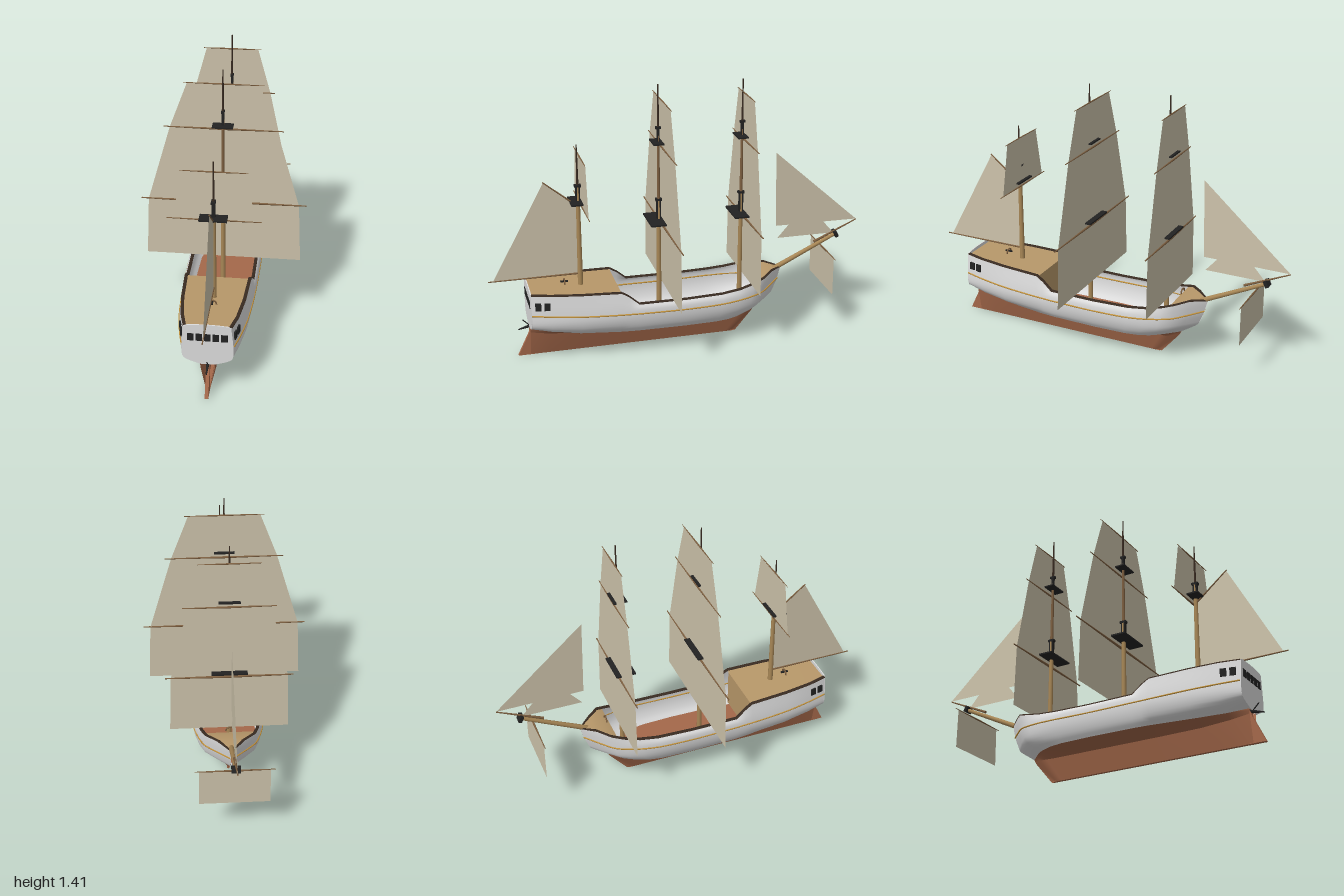
import * as THREE from 'three';

const mat = (name, color, side = THREE.FrontSide) => {
  const m = new THREE.MeshStandardMaterial({ color, side });
  m.name = name;
  return m;
};
const D = THREE.DoubleSide;
const hullWhite = mat('hull white', 0xdcdcdc, D);
const bottomRed = mat('bottom red', 0xa4684a, D);
const deckTan = mat('deck tan', 0xb8986a, D);
const mastWood = mat('mast wood', 0xa88756);
const sparWood = mat('spar wood', 0x7d5f40);
const railBrown = mat('rail brown', 0x3a2c22, D);
const black = mat('black', 0x222222);
const gold = mat('trim gold', 0xc8963c);
const canvas = mat('sail canvas', 0xcdc3ab, D);

// Hull stations: z, rail half-width, rail y, widest half-width, bilge half-width, waterline half-width, waterline y
const stations = [
  [0.8, 0.115, 0.385, 0.125, 0.112, 0.035, 0.166],
  [0.7, 0.14, 0.382, 0.147, 0.128, 0.07, 0.15],
  [0.55, 0.158, 0.377, 0.17, 0.15, 0.11, 0.14],
  [0.34, 0.168, 0.37, 0.184, 0.167, 0.142, 0.138],
  [0.3, 0.171, 0.345, 0.185, 0.169, 0.146, 0.138],
  [0.25, 0.175, 0.302, 0.187, 0.172, 0.15, 0.138],
  [0, 0.175, 0.3, 0.19, 0.175, 0.155, 0.138],
  [-0.2, 0.172, 0.305, 0.187, 0.17, 0.15, 0.138],
  [-0.3, 0.163, 0.315, 0.175, 0.16, 0.138, 0.138],
  [-0.38, 0.148, 0.332, 0.155, 0.14, 0.116, 0.138],
  [-0.44, 0.128, 0.35, 0.13, 0.115, 0.09, 0.14],
  [-0.5, 0.068, 0.36, 0.075, 0.065, 0.052, 0.14],
  [-0.57, 0.002, 0.35, 0.003, 0.003, 0.003, 0.14],
];

// Raked stem: forward points move back the lower they lie
const stem = [[0, -0.32], [0.03, -0.37], [0.14, -0.43], [0.2, -0.52], [0.27, -0.55], [0.345, -0.57]];
function rake(x, y, z) {
  if (z > -0.1) return [x, y, z];
  let s = stem[stem.length - 1][1];
  for (let i = stem.length - 2; i >= 0; i--) {
    const [y0, z0] = stem[i], [y1, z1] = stem[i + 1];
    if (y <= y1) s = z0 + (z1 - z0) * Math.max(0, (y - y0) / (y1 - y0));
  }
  return [x, y, -0.1 + (z + 0.1) * (s + 0.1) / -0.47];
}

// Surface through rows of equal point count
function loft(rows) {
  const n = rows[0].length, idx = [];
  for (let i = 0; i < rows.length - 1; i++)
    for (let j = 0; j < n - 1; j++) {
      const a = i * n + j, b = a + n;
      idx.push(a, a + 1, b, a + 1, b + 1, b);
    }
  const g = new THREE.BufferGeometry();
  g.setAttribute('position', new THREE.Float32BufferAttribute(rows.flat(2), 3));
  g.setIndex(idx);
  g.computeVertexNormals();
  return g;
}

function sideSection([, wt, yt, wm, bw, wl, yl]) {
  const pts = [[wt, yt], [wm, 0.28], [wm, 0.22], [bw, yl + 0.03], [wl, yl]];
  return new THREE.CatmullRomCurve3(pts.map(([x, y]) => new THREE.Vector3(x, y, 0))).getPoints(14);
}

export function createModel() {
  const root = new THREE.Group();
  const add = (name, geo, m, x = 0, y = 0, z = 0) => {
    const mesh = new THREE.Mesh(geo, m);
    mesh.name = name;
    mesh.position.set(x, y, z);
    root.add(mesh);
    return mesh;
  };
  const box = (name, m, w, h, d, x, y, z) => add(name, new THREE.BoxGeometry(w, h, d), m, x, y, z);
  // Tapered round spar between two points
  const spar = (name, m, a, b, r0, r1) => {
    const p = new THREE.Vector3(...a), q = new THREE.Vector3(...b), d = q.clone().sub(p);
    const mesh = add(name, new THREE.CylinderGeometry(r1, r0, d.length(), 10), m);
    mesh.position.copy(p).addScaledVector(d, 0.5);
    mesh.quaternion.setFromUnitVectors(new THREE.Vector3(0, 1, 0), d.normalize());
    return mesh;
  };
  const sail = (name, ...p) => add(name, loft([p.slice(0, 2), [p[3] ?? p[2], p[2]]]), canvas);

  // Hull sides, keel and rails
  for (const s of [1, -1]) {
    add('hullSide', loft(stations.map(st => sideSection(st).map(p => rake(s * p.x, p.y, st[0])))), hullWhite);
    const under = stations.map(([z, , , , , wl, yl]) => {
      const k = Math.min(wl, 0.042);
      return [[wl, yl], [(wl + k) / 2, yl - 0.01], [k, yl - 0.026], [Math.min(k, 0.008), 0]]
        .map(([x, y]) => rake(s * x, y, z));
    });
    add('hullBottom', loft(under.map(r => r.slice(0, 3))), bottomRed);
    add('keel', loft(under.map(r => r.slice(2))), bottomRed);
    add('rail', loft(stations.map(([z, w, y]) => {
      const i = Math.max(0, w - 0.013);
      return [[w + 0.003, y - 0.003], [w + 0.003, y + 0.003], [i, y + 0.003], [i, y - 0.003]]
        .map(([x, yy]) => rake(s * x, yy, z));
    })), railBrown);
    // Gold stripe along the widest line
    const line = stations.map(([z, , , wm]) => {
      const y = 0.25 + (z > 0 ? 0.04 * z * z : 0.11 * z * z);
      return new THREE.Vector3(...rake(s * (wm + 0.002), y, z));
    });
    add('trimStripe', new THREE.TubeGeometry(new THREE.CatmullRomCurve3(line), 60, 0.004, 5), gold);
    // Quarter windows
    for (const [z, x] of [[0.767, 0.132], [0.722, 0.142]])
      box('sideWindow', black, 0.009, 0.04, 0.03, s * x, 0.325, z).rotation.y = -s * 0.21;
  }
  add('keelShoe', new THREE.BoxGeometry(0.016, 0.004, 1.1), bottomRed, 0, 0.002, 0.24);

  // Hold floor and raised decks
  const deck = (name, m, rows) =>
    add(name, loft(rows.map(([z, w, y]) => [rake(-w, y, z), rake(w, y, z)])), m);
  deck('mainDeck', bottomRed, stations.map(([z, , , , , wl, yl]) => [z, wl, yl + 0.002]));
  deck('quarterDeck', deckTan, stations.slice(0, 4).map(([z, w, y]) => [z, w - 0.003, y - 0.006]));
  deck('foreDeck', deckTan, [[-0.41, 0.138, 0.335], ...stations.slice(10).map(([z, w, y]) => [z, w, y - 0.004])]);
  box('deckBulkhead', deckTan, 0.3, 0.21, 0.008, 0, 0.255, 0.344);

  // Transom with arched top and stern windows
  const sec = sideSection(stations[0]);
  const t = new THREE.Shape();
  t.moveTo(-0.1, 0.392);
  t.quadraticCurveTo(0, 0.402, 0.1, 0.392);
  sec.forEach(p => t.lineTo(p.x, p.y));
  sec.slice().reverse().forEach(p => t.lineTo(-p.x, p.y));
  add('transom', new THREE.ExtrudeGeometry(t, { depth: 0.006, bevelEnabled: false }), hullWhite, 0, 0, 0.798);
  for (let i = -2; i <= 2; i++) box('sternWindow', black, 0.032, 0.04, 0.006, i * 0.041, 0.325, 0.804);

  // Rudder and tiller
  const r = new THREE.Shape([[0.78, 0], [0.865, 0], [0.8, 0.135], [0.79, 0.17], [0.78, 0.17]]
    .map(([z, y]) => new THREE.Vector2(-z, y)));
  add('rudder', new THREE.ExtrudeGeometry(r, { depth: 0.018, bevelEnabled: false }), bottomRed, -0.009)
    .rotation.y = Math.PI / 2;
  spar('tiller', black, [0, 0.165, 0.79], [0, 0.147, 0.86], 0.009, 0.003);
  spar('sternBracket', black, [0, 0.165, 0.8], [0, 0.2, 0.835], 0.003, 0.003);

  // Steering wheel stand
  add('wheelStand', new THREE.TorusGeometry(0.022, 0.004, 6, 14, Math.PI), sparWood, 0, 0.385, 0.61);
  box('wheelTop', black, 0.012, 0.006, 0.04, 0, 0.395, 0.61);
  add('hatchArch', new THREE.TorusGeometry(0.022, 0.004, 6, 14, Math.PI), sparWood, 0, 0.365, -0.43);

  // Masts: z, base y, top platform y and half-width, cap y, crosstree y, truck y
  const mast = (z, base, topY, topW, capY, treeY, truckY) => {
    spar('lowerMast', mastWood, [0, base, z], [0, capY, z], 0.014, 0.01);
    box('mastTop', black, topW * 2, 0.008, topW * 1.15, 0, topY, z + 0.005);
    box('mastDoubling', black, 0.018, capY - topY, 0.022, 0, (capY + topY) / 2, z);
    box('mastCap', black, 0.022, 0.012, 0.034, 0, capY, z);
    const mid = treeY ? treeY + 0.075 : capY;
    if (treeY) {
      spar('topMast', sparWood, [0, capY, z], [0, mid, z], 0.009, 0.006);
      box('crosstree', black, 0.105, 0.007, 0.07, 0, treeY, z);
      box('topDoubling', black, 0.012, 0.075, 0.014, 0, treeY + 0.037, z);
      box('topCap', black, 0.016, 0.012, 0.028, 0, mid, z);
    }
    spar('upperMast', railBrown, [0, mid, z], [0, truckY, z], 0.006, 0.003);
  };
  mast(0.105, 0.14, 0.69, 0.097, 0.8, 1.11, 1.41);
  mast(-0.34, 0.14, 0.69, 0.09, 0.8, 1.11, 1.41);
  mast(0.525, 0.36, 0.83, 0.068, 0.912, 0, 1.13);

  // Yards and square sails
  const yard = (y, z, h, rad) => {
    for (const s of [1, -1]) spar('yard', sparWood, [0, y, z], [s * h, y, z], rad, rad * 0.4);
  };
  const square = (z, y1, w1, y0, w0) =>
    sail('squareSail', [-w0, y0, z], [w0, y0, z], [w1, y1, z], [-w1, y1, z]);
  for (const [z, k] of [[0.085, 1], [-0.36, 0.75]]) {
    yard(0.66, z, 0.427 * k, 0.008);
    yard(1.08, z, 0.302 * k, 0.006);
    yard(1.325, z, 0.2 * k, 0.004);
    square(z, 0.657, 0.39 * k, 0.33, 0.405 * k);
    square(z, 1.08, 0.27 * k, 0.657, 0.39 * k);
    square(z, 1.325, 0.18 * k, 1.08, 0.27 * k);
  }
  yard(0.803, 0.508, 0.23, 0.005);
  yard(1.068, 0.512, 0.163, 0.004);
  square(0.508, 1.068, 0.148, 0.8, 0.205);
  yard(0.44, -0.81, 0.195, 0.005);
  square(-0.81, 0.44, 0.172, 0.23, 0.175);

  // Gaff sail with its spars
  spar('boom', sparWood, [0, 0.432, 0.53], [0, 0.432, 1], 0.005, 0.003);
  spar('gaff', sparWood, [0, 0.805, 0.53], [0, 0.945, 0.702], 0.005, 0.003);
  sail('gaffSail', [0, 0.432, 0.535], [0, 0.432, 0.975], [0, 0.94, 0.7], [0, 0.805, 0.535]);

  // Bowsprit and head sails
  spar('bowsprit', mastWood, [0, 0.325, -0.5], [0, 0.51, -0.88], 0.014, 0.01);
  spar('jibBoom', sparWood, [0, 0.475, -0.76], [0, 0.583, -0.998], 0.007, 0.003);
  box('bowspritCap', black, 0.045, 0.034, 0.018, 0, 0.512, -0.88).rotation.x = 0.45;
  sail('outerJib', [0, 1, -0.53], [0, 0.585, -0.998], [0, 0.588, -0.54]);
  sail('innerJib', [0, 0.7, -0.71], [0, 0.517, -0.87], [0, 0.517, -0.55]);

  return root;
}
